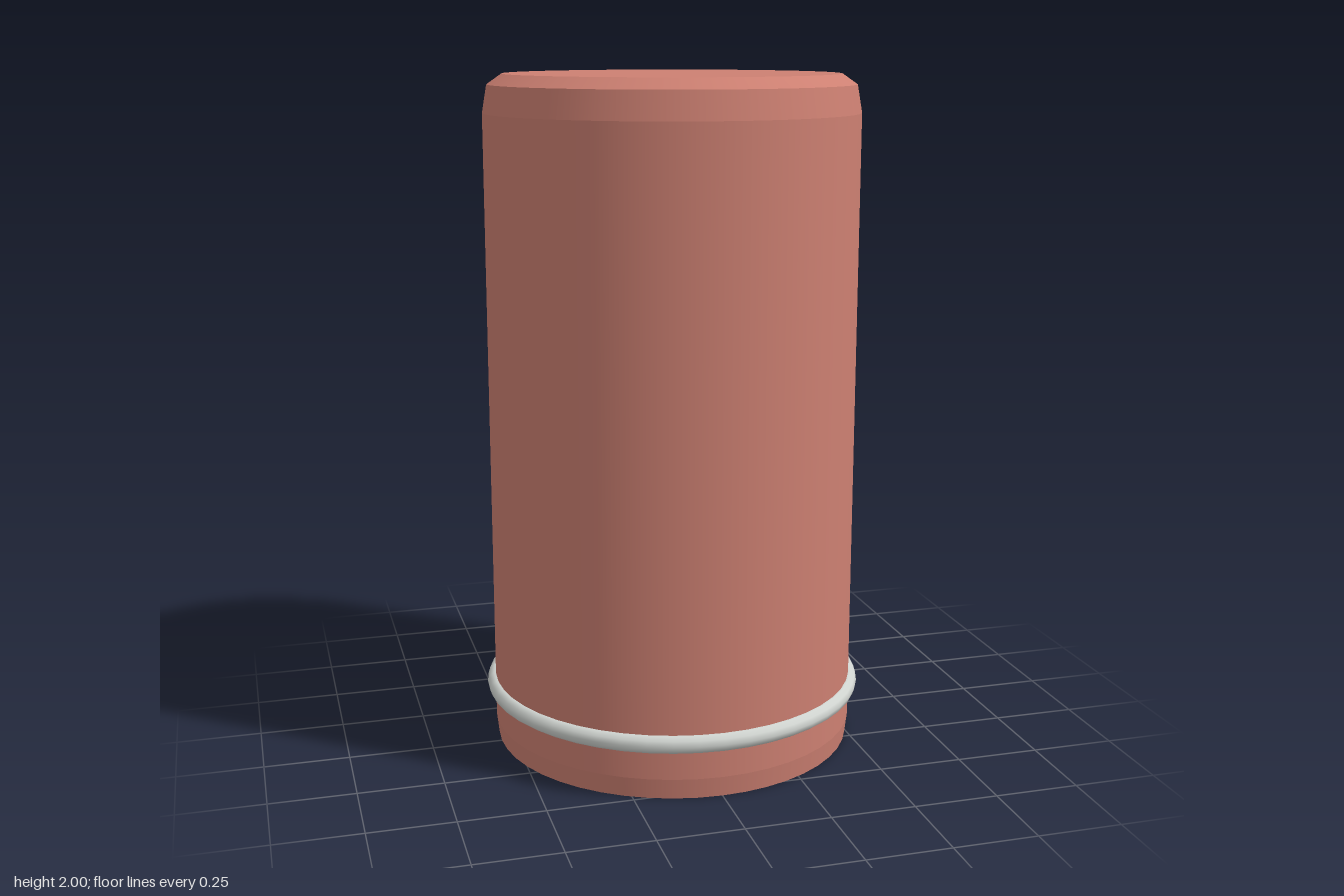
import * as THREE from 'three';

export function createModel() {
  const model = new THREE.Group();
  const clay = new THREE.MeshStandardMaterial({ color: 0xcd8072 });
  clay.name = 'clay red';
  const metal = new THREE.MeshStandardMaterial({ color: 0xd0d4d0 });
  metal.name = 'pale metal';

  // Body: one lathe per band, so each edge of the profile stays crisp
  const body = new THREE.Group();
  body.name = 'body';
  const profile = [[0, 0], [0.54, 0], [0.547, 0.06], [0.547, 1.89], [0.533, 1.97], [0.49, 2], [0, 2]]
    .map(([r, y]) => new THREE.Vector2(r, y));
  const names = ['base', 'lowerTaper', 'wall', 'shoulder', 'topBevel', 'topCap'];
  names.forEach((name, i) => {
    const band = new THREE.Mesh(new THREE.LatheGeometry([profile[i], profile[i + 1]], 48), clay);
    band.name = name;
    body.add(band);
  });
  model.add(body);

  // Thin metal ring near the base
  const ring = new THREE.Mesh(new THREE.TorusGeometry(0.545, 0.027, 10, 48), metal);
  ring.name = 'ring';
  ring.rotation.x = Math.PI / 2;
  ring.position.y = 0.168;
  model.add(ring);

  return model;
}
